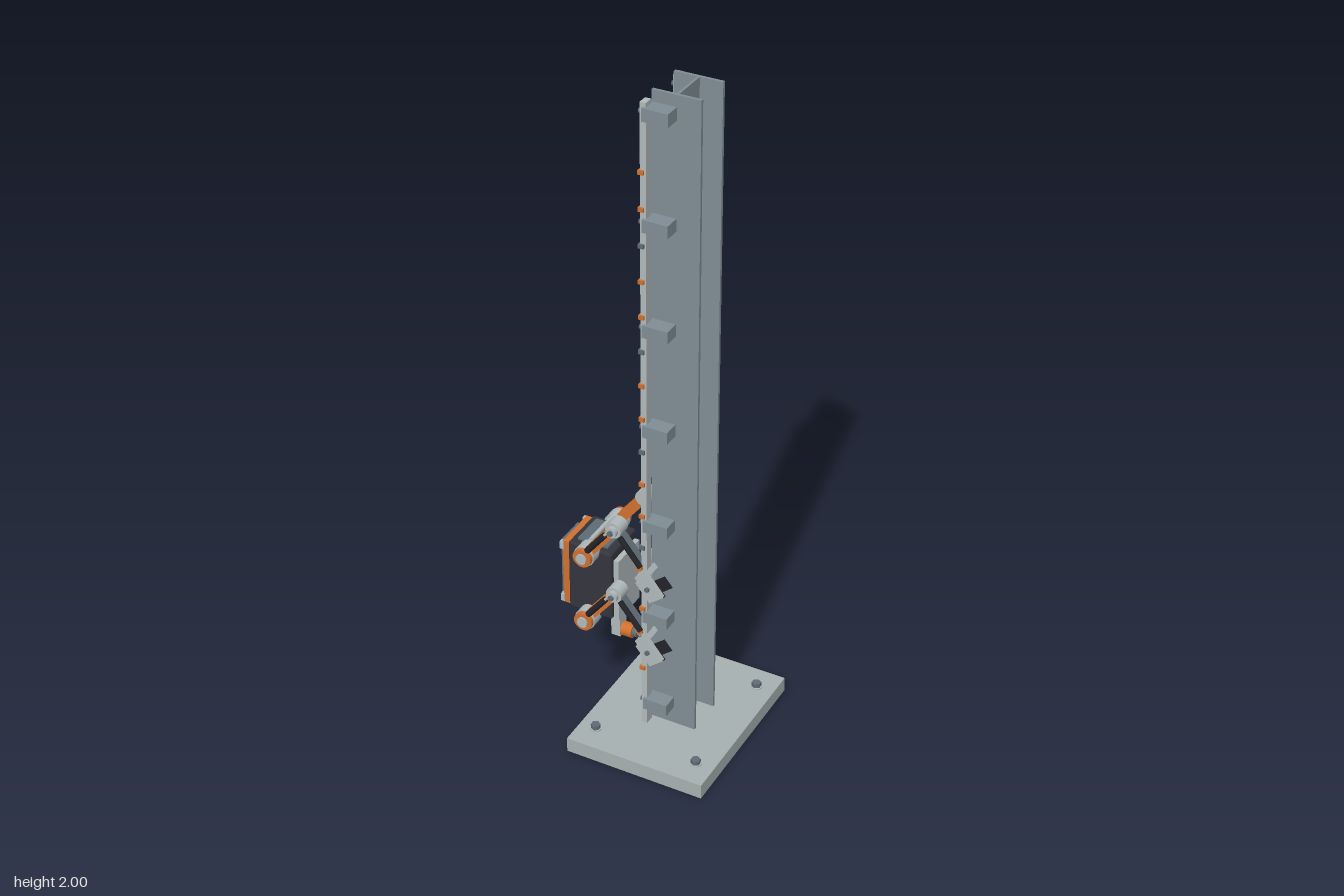
import * as THREE from 'three';
import { RoundedBoxGeometry } from 'three/addons/geometries/RoundedBoxGeometry.js';

const mat = (name, color) => {
  const m = new THREE.MeshStandardMaterial({ color });
  m.name = name;
  return m;
};

export function createModel() {
  const steel = mat('beam steel', 0x808d94);
  const plate = mat('base plate grey', 0xa6b0b0);
  const light = mat('light alloy', 0xb0b9bb);
  const slate = mat('slate metal', 0x5f6c75);
  const dark = mat('dark shell', 0x34353d);
  const black = mat('black rubber', 0x212329);
  const orange = mat('safety orange', 0xd0702f);
  const teal = mat('lens blue', 0x3f6577);

  const root = new THREE.Group();
  root.name = 'beamClimber';
  const group = (name, parent = root) => {
    const g = new THREE.Group();
    g.name = name;
    parent.add(g);
    return g;
  };
  const add = (parent, name, geo, m, x, y, z) => {
    const mesh = new THREE.Mesh(geo, m);
    mesh.name = name;
    mesh.position.set(x, y, z);
    parent.add(mesh);
    return mesh;
  };
  // Box given by its limits on each axis
  const box = (p, name, m, x0, x1, y0, y1, z0, z1) =>
    add(p, name, new THREE.BoxGeometry(x1 - x0, y1 - y0, Math.abs(z1 - z0)), m,
      (x0 + x1) / 2, (y0 + y1) / 2, (z0 + z1) / 2);
  // Cylinder along one axis, centred on the given point
  const cyl = (p, name, m, axis, r, len, x, y, z, sides = 24) => {
    const g = new THREE.CylinderGeometry(r, r, len, sides);
    if (axis === 'x') g.rotateZ(Math.PI / 2);
    if (axis === 'z') g.rotateX(Math.PI / 2);
    return add(p, name, g, m, x, y, z);
  };

  // Base plate and anchor bolts
  const base = group('base');
  box(base, 'basePlate', plate, -0.14, 0.283, 0, 0.046, -0.264, 0.264);
  for (const x of [-0.089, 0.228]) for (const z of [-0.19, 0.19]) {
    cyl(base, 'washer', light, 'y', 0.016, 0.004, x, 0.048, z);
    cyl(base, 'anchorBolt', slate, 'y', 0.014, 0.014, x, 0.056, z, 6);
  }

  // H-section column
  const column = group('column');
  box(column, 'web', steel, 0.087, 0.094, 0.046, 2, -0.053, 0.053);
  for (const s of [-1, 1]) box(column, 'flange', steel, 0.022, 0.158, 0.046, 2, s * 0.053, s * 0.062);

  // Rails with brackets, bolts and marker collars
  for (const s of [-1, 1]) {
    const rail = group(s > 0 ? 'frontRail' : 'backRail');
    box(rail, 'railBar', light, 0.01, 0.027, 0.046, 1.98, s * 0.072, s * 0.1);
    for (let i = 0; i < 7; i++) {
      const y = 0.12 + i * 0.305;
      box(rail, 'railBracket', steel, 0.018, 0.092, y - 0.018, y + 0.018, s * 0.06, s * 0.108);
      cyl(rail, 'bracketBolt', slate, 'x', 0.007, 0.01, 0.006, y, s * 0.086, 6);
    }
    for (let i = 0; i < 16; i++) {
      const y = 0.243 + i * 0.1032;
      box(rail, 'markerCollar', i % 3 === 1 ? slate : orange, 0.006, 0.022, y - 0.006, y + 0.006,
        s * 0.066, s * 0.106);
    }
  }

  // Robot body
  const body = group('robotBody');
  add(body, 'shell', new RoundedBoxGeometry(0.137, 0.225, 0.146, 2, 0.008), dark, -0.167, 0.46, 0);
  box(body, 'topPlate', slate, -0.215, -0.12, 0.57, 0.579, -0.052, 0.052);
  box(body, 'innerPlate', light, -0.1, -0.083, 0.345, 0.545, -0.06, 0.06);
  box(body, 'outerFrame', orange, -0.255, -0.235, 0.355, 0.565, -0.068, 0.068);
  box(body, 'servicePanel', slate, -0.272, -0.255, 0.37, 0.55, -0.046, 0.046);
  box(body, 'panelFace', dark, -0.275, -0.272, 0.38, 0.54, -0.04, 0.04);
  for (let i = 0; i < 5; i++) {
    const y = 0.4 + i * 0.02;
    box(body, 'ventSlot', orange, -0.278, -0.275, y - 0.004, y + 0.004, -0.032, 0.032);
  }
  for (const z of [-1, 1]) {
    cyl(body, 'lamp', teal, 'x', 0.009, 0.01, -0.279, 0.525, z * 0.029);
    for (const y of [0.37, 0.55]) box(body, 'cornerPad', light, -0.263, -0.251, y - 0.012, y + 0.012, z * 0.058, z * 0.071);
    cyl(body, 'handlePost', light, 'y', 0.005, 0.03, -0.168, 0.58, z * 0.056, 12);
  }
  cyl(body, 'handleGrip', light, 'z', 0.007, 0.126, -0.168, 0.594, 0, 16);

  // Inspection probe under the body
  const probe = group('probe');
  box(probe, 'probeArm', light, -0.132, -0.103, 0.25, 0.35, -0.018, 0.018);
  cyl(probe, 'probeHousing', orange, 'x', 0.021, 0.034, -0.086, 0.27, 0);
  cyl(probe, 'probeCollar', slate, 'x', 0.015, 0.014, -0.062, 0.27, 0);
  cyl(probe, 'probeTip', light, 'x', 0.007, 0.014, -0.049, 0.27, 0, 16);

  // Limb frame: local x runs from a to b
  const limb = (p, name, a, b) => {
    const g = group(name, p);
    g.position.set(a[0], a[1], 0);
    g.rotation.z = Math.atan2(b[1] - a[1], b[0] - a[0]);
    return g;
  };

  const makeLeg = (name, dy, s) => {
    const leg = group(name);
    leg.position.y = dy;
    const hip = [-0.167, 0.565], knee = [-0.074, 0.684], foot = [0.046, 0.535];

    // Hip joint
    cyl(leg, 'hipDrum', light, 'z', 0.031, 0.04, ...hip, s * 0.085);
    cyl(leg, 'hipDisc', orange, 'z', 0.028, 0.013, ...hip, s * 0.111);
    cyl(leg, 'hipCap', light, 'z', 0.016, 0.006, ...hip, s * 0.12);

    // Upper arm with outer damper
    const upper = limb(leg, 'upperArm', hip, knee);
    box(upper, 'upperBeam', orange, 0.015, 0.138, -0.015, 0.015, s * 0.075, s * 0.1);
    cyl(upper, 'upperDamper', black, 'x', 0.009, 0.09, 0.075, 0.006, s * 0.11, 16);
    cyl(upper, 'upperRod', light, 'x', 0.004, 0.13, 0.075, 0.006, s * 0.11, 12);

    // Knee joint
    cyl(leg, 'kneeDrum', light, 'z', 0.024, 0.042, ...knee, s * 0.085);
    cyl(leg, 'kneeCap', light, 'z', 0.016, 0.014, ...knee, s * 0.112);
    cyl(leg, 'kneeBolt', slate, 'z', 0.008, 0.008, ...knee, s * 0.123, 6);

    // Forearm, damper and wrist
    const fore = limb(leg, 'forearm', knee, foot);
    box(fore, 'foreBeam', slate, 0.015, 0.13, -0.011, 0.011, s * 0.075, s * 0.098);
    cyl(fore, 'foreDamper', black, 'x', 0.008, 0.1, 0.075, 0.008, s * 0.107, 16);
    box(fore, 'wristBlock', light, 0.12, 0.15, -0.014, 0.014, s * 0.073, s * 0.1);
    cyl(fore, 'wristPin', orange, 'z', 0.01, 0.042, 0.126, 0, s * 0.086, 16);

    // Gripper: two jaws straddling the rail
    box(fore, 'palm', light, 0.142, 0.158, -0.02, 0.02, s * 0.05, s * 0.12);
    for (const [z0, z1, p0, p1, bolt] of [
      [0.11, 0.124, 0.104, 0.11, 0.128], [0.045, 0.057, 0.057, 0.063, 0.042]]) {
      box(fore, 'jaw', light, 0.155, 0.225, -0.025, 0.025, s * z0, s * z1);
      box(fore, 'jawPad', black, 0.19, 0.229, -0.022, 0.022, s * p0, s * p1);
      cyl(fore, 'jawBolt', slate, 'z', 0.007, 0.008, 0.185, 0, s * bolt, 6);
    }
  };
  for (const s of [-1, 1]) {
    const side = s > 0 ? 'Front' : 'Back';
    makeLeg('upperLeg' + side, 0, s);
    makeLeg('lowerLeg' + side, -0.218, s);
  }
  return root;
}
